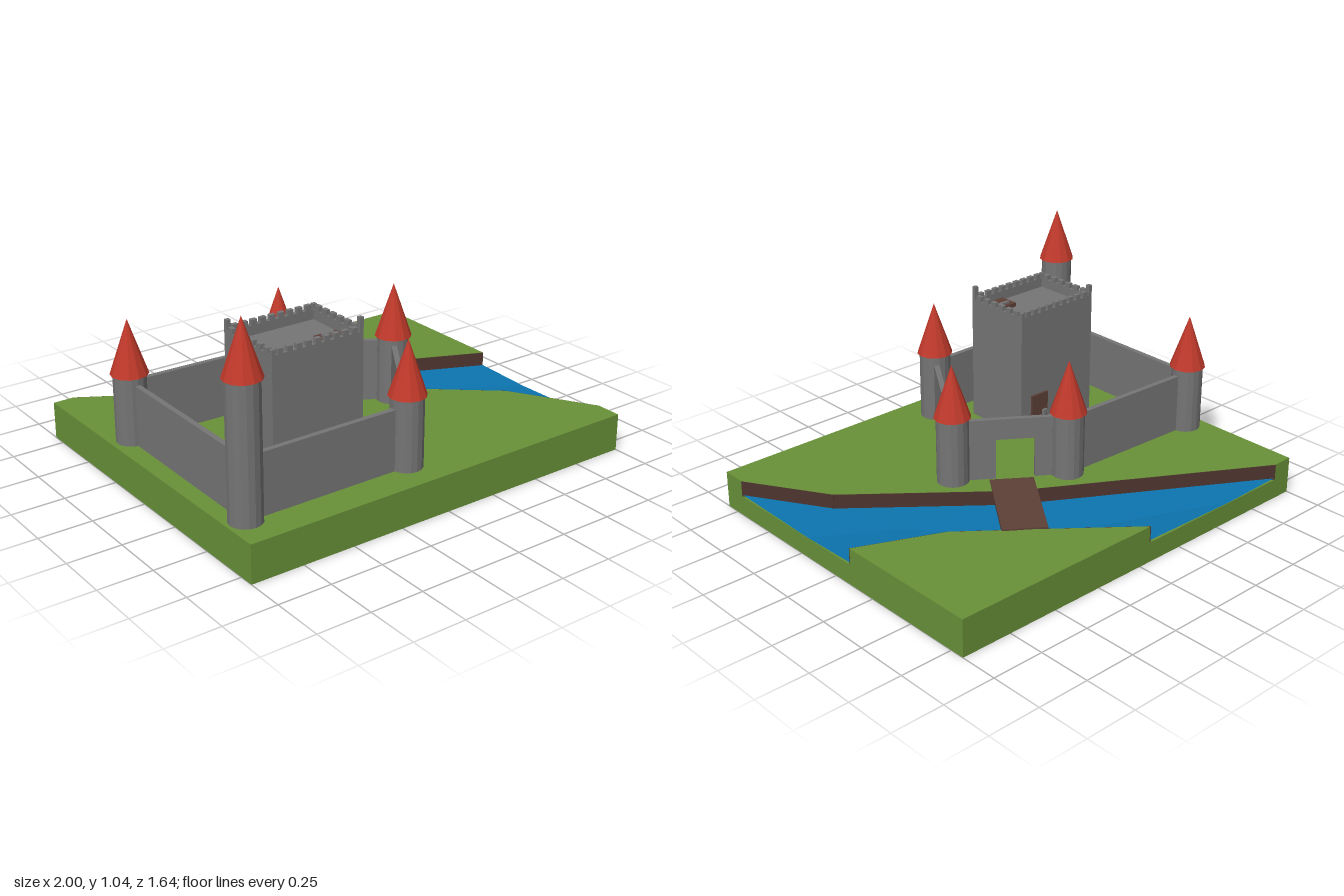
import * as THREE from 'three';

const mat = (color) => new THREE.MeshStandardMaterial({ color, flatShading: true, side: THREE.DoubleSide });
const GROUND = 0.176;

export function createModel() {
  const model = new THREE.Group();
  const grass = mat(0x689038), water = mat(0x0c74ae), stone = mat(0x757575);
  const red = mat(0xc0392b), wood = mat(0x5d4037), earth = mat(0x4e342e);

  const add = (name, geometry, material, x = 0, y = 0, z = 0, parent = model) => {
    const mesh = new THREE.Mesh(geometry, material);
    mesh.name = name;
    mesh.position.set(x, y, z);
    parent.add(mesh);
    return mesh;
  };
  const box = (name, material, x0, x1, y0, y1, z0, z1, parent) =>
    add(name, new THREE.BoxGeometry(x1 - x0, y1 - y0, z1 - z0), material,
      (x0 + x1) / 2, (y0 + y1) / 2, (z0 + z1) / 2, parent);

  // Upright slab between two plan points [x, z]
  const span = (name, material, a, b, y0, y1, thickness) => {
    const dx = b[0] - a[0], dz = b[1] - a[1];
    const mesh = add(name, new THREE.BoxGeometry(Math.hypot(dx, dz), y1 - y0, thickness), material,
      (a[0] + b[0]) / 2, (y0 + y1) / 2, (a[1] + b[1]) / 2);
    mesh.rotation.y = Math.atan2(-dz, dx);
    return mesh;
  };

  // Plan outline [x, z] raised from y = 0
  const plan = (name, points, height, material) => {
    const shape = new THREE.Shape(points.map(([x, z]) => new THREE.Vector2(x, -z)));
    const geometry = new THREE.ExtrudeGeometry(shape, { depth: height, bevelEnabled: false });
    return add(name, geometry.rotateX(-Math.PI / 2), material);
  };

  // Ground, split by the river
  const nearBank = [[-0.9, -0.82], [0.16, -0.19], [0.77, 0.32], [1, 0.7]];
  const farBank = [[-0.06, -0.82], [0.29, -0.53], [0.61, -0.27], [1, -0.1]];
  const middle = [[-0.57, -0.82], [0.24, -0.47], [0.68, 0], [1, 0.2]];
  plan('castleGround', [[-1, -0.82], ...nearBank, [1, 0.82], [-1, 0.82]], GROUND, grass);
  plan('farGround', [...farBank, [1, -0.82]], GROUND, grass);
  plan('riverBed', [...nearBank, ...farBank.slice().reverse()], 0.097, grass);

  // Water: strips from the near bank to the middle to the far bank
  const positions = [], index = [];
  nearBank.forEach((n, i) => {
    const m = middle[i], f = farBank[i];
    positions.push(n[0], 0.107, n[1], m[0], 0.099, m[1], f[0], 0.109, f[1]);
    if (i === 0) return;
    for (let k = 0; k < 2; k++) {
      const p = (i - 1) * 3 + k, q = p + 3;
      index.push(p, q, q + 1, p, q + 1, p + 1);
    }
  });
  const river = new THREE.BufferGeometry();
  river.setAttribute('position', new THREE.Float32BufferAttribute(positions, 3));
  river.setIndex(index);
  river.computeVertexNormals();
  add('riverWater', river, water);

  // Bare earth along both banks
  for (const bank of [nearBank, farBank])
    for (let i = 0; i < 3; i++) span('earthBank', earth, bank[i], bank[i + 1], 0.1, GROUND - 0.001, 0.006);

  // Bridge to the gate
  span('bridge', wood, [0.355, -0.48], [0.093, -0.11], 0.165, 0.183, 0.2);

  // Corner towers: x, z, top of the shaft
  const towers = [
    [-0.91, 0.65, 0.79], [-0.1, 0.65, 0.505], [0.29, 0.065, 0.492],
    [-0.14, -0.23, 0.482], [-0.9, -0.26, 0.492],
  ];
  for (const [x, z, top] of towers) {
    const tower = new THREE.Group();
    tower.name = 'tower';
    model.add(tower);
    const height = top - GROUND;
    add('towerShaft', new THREE.CylinderGeometry(0.074, 0.074, height, 16), stone, x, GROUND + height / 2, z, tower);
    add('towerRoof', new THREE.ConeGeometry(0.085, 0.25, 12), red, x, top + 0.125, z, tower);
  }

  // Curtain walls; the one facing the river holds the gate
  towers.forEach((a, i) => {
    const b = towers[(i + 1) % towers.length];
    if (i !== 2) {
      span('curtainWall', stone, a, b, GROUND, i === 1 ? 0.465 : 0.458, 0.025);
      return;
    }
    const dx = b[0] - a[0], dz = b[1] - a[1], length = Math.hypot(dx, dz);
    const g0 = length * 0.37, g1 = length * 0.71, lintel = 0.37 - GROUND, h = 0.47 - GROUND;
    const outline = [[0, 0], [g0, 0], [g0, lintel], [g1, lintel], [g1, 0], [length, 0], [length, h], [0, h]];
    const shape = new THREE.Shape(outline.map(([x, y]) => new THREE.Vector2(x, y)));
    const geometry = new THREE.ExtrudeGeometry(shape, { depth: 0.025, bevelEnabled: false });
    const wall = add('gateWall', geometry.translate(0, 0, -0.0125), stone, a[0], GROUND, a[1]);
    wall.rotation.y = Math.atan2(-dz, dx);
  });

  // Keep with a recessed roof and a parapet
  const keep = new THREE.Group();
  keep.name = 'keep';
  model.add(keep);
  const x0 = -0.69, x1 = -0.235, z0 = 0.18, z1 = 0.525, t = 0.02, roof = 0.735, top = 0.78;
  box('keepBody', stone, x0, x1, GROUND, roof, z0, z1, keep);
  for (const z of [z0, z1 - t]) box('parapet', stone, x0, x1, roof, top, z, z + t, keep);
  for (const x of [x0, x1 - t]) box('parapet', stone, x, x + t, roof, top, z0 + t, z1 - t, keep);

  // Battlements, with two taller posts at opposite corners
  const merlons = (count, from, to, place) => {
    const step = (to - from) / count;
    for (let i = 0; i < count; i++) place(from + (i + 0.2) * step, from + (i + 0.8) * step);
  };
  for (const z of [z0, z1 - t])
    merlons(9, x0 + t, x1 - t, (a, b) => box('merlon', stone, a, b, top, 0.803, z, z + t, keep));
  for (const x of [x0, x1 - t])
    merlons(6, z0 + t, z1 - t, (a, b) => box('merlon', stone, x, x + t, top, 0.803, a, b, keep));
  for (const [x, z, y] of [[x0, z0, 0.83], [x1 - t, z1 - t, 0.843], [x0, z1 - t, 0.803], [x1 - t, z0, 0.803]])
    box('cornerPost', stone, x, x + t, top, y, z, z + t, keep);

  // Roof hatch and rear door
  box('roofHatch', wood, -0.395, -0.28, roof, 0.755, 0.395, 0.49, keep);
  box('hatchHandle', stone, -0.37, -0.31, 0.755, 0.765, 0.412, 0.426, keep);
  box('keepDoor', wood, -0.395, -0.295, GROUND, 0.37, 0.168, z0, keep);
  box('doorHandle', stone, -0.382, -0.358, 0.26, 0.285, 0.155, 0.168, keep);

  return model;
}
